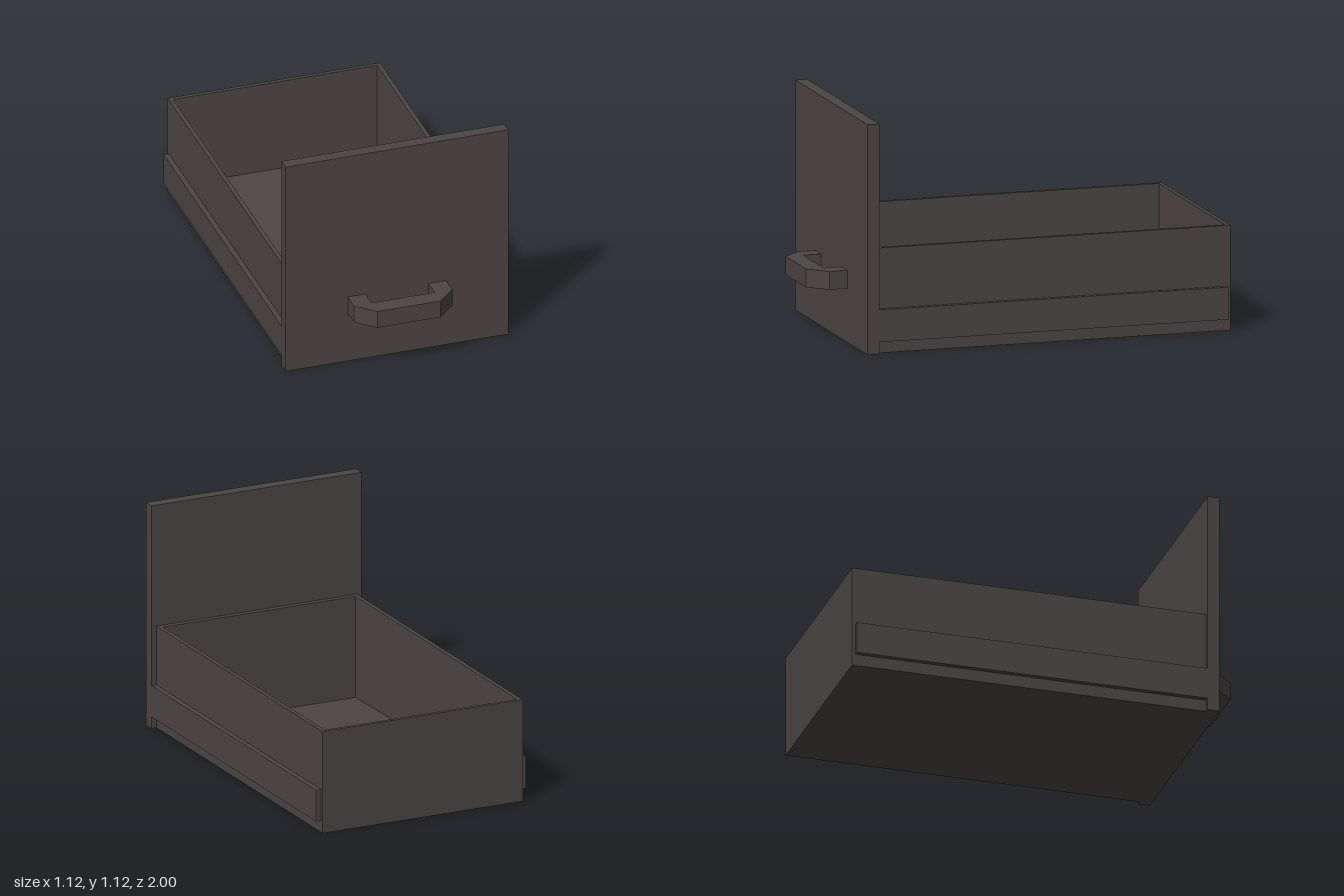
import * as THREE from 'three';

export function createModel() {
  const model = new THREE.Group();
  model.name = 'drawer';
  const charcoal = new THREE.MeshStandardMaterial({ color: 0x4c4645 });
  charcoal.name = 'charcoal';

  function add(name, geometry) {
    const mesh = new THREE.Mesh(geometry, charcoal);
    mesh.name = name;
    model.add(mesh);
  }

  // Box given by its low and high corners
  function box([x0, y0, z0], [x1, y1, z1]) {
    return new THREE.BoxGeometry(x1 - x0, y1 - y0, z1 - z0)
      .translate((x0 + x1) / 2, (y0 + y1) / 2, (z0 + z1) / 2);
  }

  // Extrude a plan outline of [x, z] points upwards from y0 to y1
  function prism(outline, holes, y0, y1) {
    const points = (list) => list.map(([x, z]) => new THREE.Vector2(x, -z));
    const shape = new THREE.Shape(points(outline));
    shape.holes = holes.map((hole) => new THREE.Path(points(hole)));
    return new THREE.ExtrudeGeometry(shape, { depth: y1 - y0, bevelEnabled: false })
      .rotateX(-Math.PI / 2).translate(0, y0, 0);
  }

  // Counter-clockwise rectangle seen from above
  const rect = (x, z0, z1) => [[-x, z1], [x, z1], [x, z0], [-x, z0]];

  // Open tray: four walls in one ring
  add('trayWalls', prism(rect(0.533, -1, 0.762), [rect(0.512, -0.98, 0.735)], 0, 0.51));

  // Thin floor whose top rises slightly towards the back
  const floor = box([-0.512, 0, -0.98], [0.512, 0.003, 0.735]);
  const corners = floor.attributes.position;
  for (let i = 0; i < corners.count; i++) {
    if (corners.getY(i) > 0.001 && corners.getZ(i) < 0) corners.setY(i, 0.036);
  }
  floor.computeVertexNormals();
  add('trayFloor', floor);

  // Tall front panel
  add('frontPanel', box([-0.559, 0, 0.762], [0.559, 1.117, 0.822]));

  // Slide rails on both sides
  add('rightRail', box([-0.559, 0.058, -0.983], [-0.533, 0.215, 0.762]));
  add('leftRail', box([0.533, 0.058, -0.983], [0.559, 0.215, 0.762]));

  // Pull handle with chamfered corners
  add('handle', prism([
    [-0.247, 0.822], [-0.247, 0.912], [-0.159, 1], [0.159, 1], [0.247, 0.912], [0.247, 0.822],
    [0.159, 0.822], [0.159, 0.912], [-0.159, 0.912], [-0.159, 0.822],
  ], [], 0.261, 0.35));

  return model;
}
